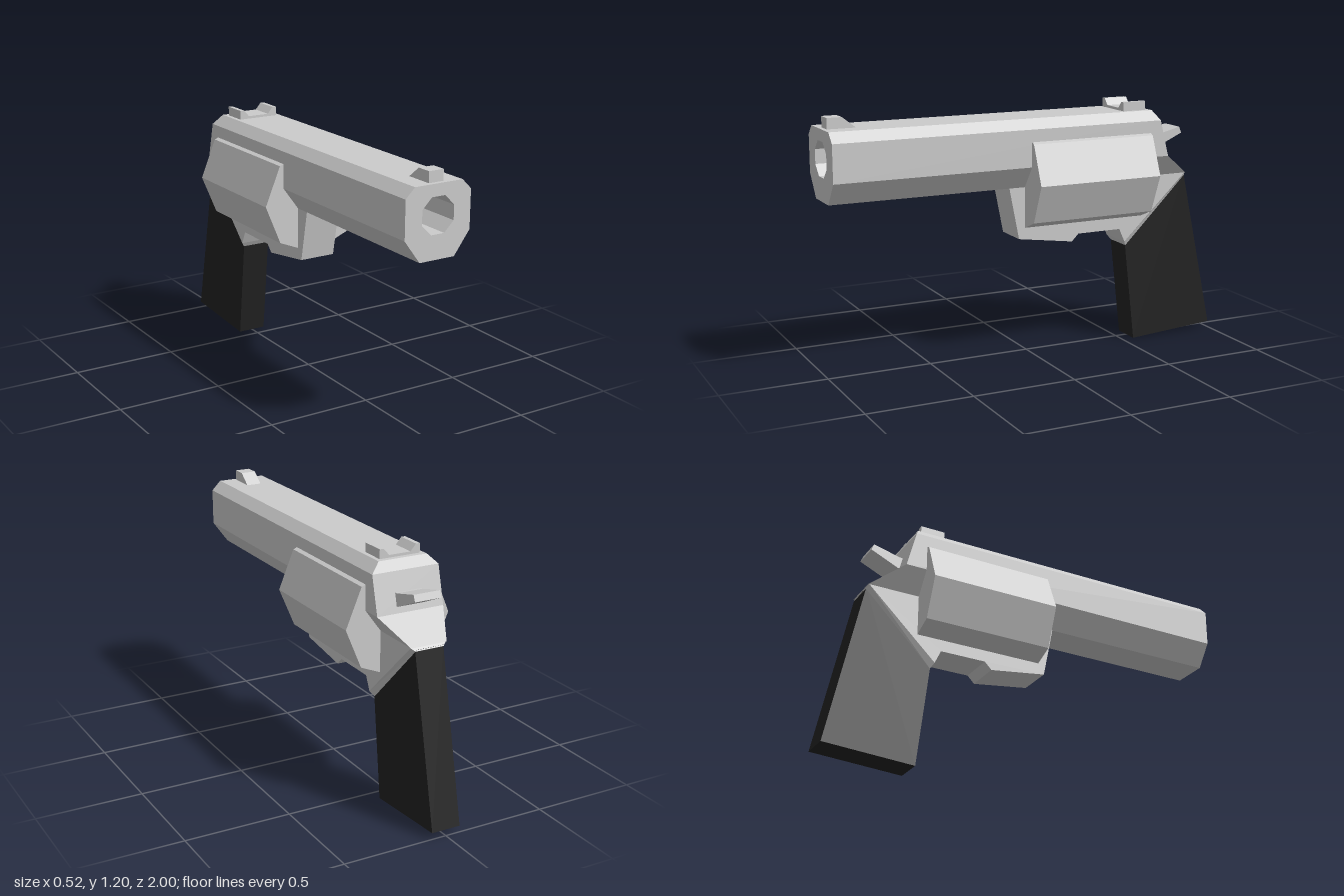
import * as THREE from 'three';

const metal = new THREE.MeshStandardMaterial({ color: 0xcccccc, flatShading: true });
const bore = new THREE.MeshStandardMaterial({ color: 0xcccccc, flatShading: true, side: THREE.BackSide });
const black = new THREE.MeshStandardMaterial({ color: 0x222222, flatShading: true });

const shapeOf = (pts) => new THREE.Shape(pts.map(([x, y]) => new THREE.Vector2(x, y)));

// Side profile of [z, y] points, extruded across x and centred
function slab(pts, halfWidth) {
  const geo = new THREE.ExtrudeGeometry(shapeOf(pts), { depth: halfWidth * 2, bevelEnabled: false });
  return geo.rotateY(-Math.PI / 2).translate(halfWidth, 0, 0);
}

// Completes a right half of [x, y, z] points with its mirror image
const mirrored = (half) => [...half, ...half.map(([x, ...rest]) => [-x, ...rest]).reverse()];

// Joins a front ring to a rear ring and closes the rear with cross strips
function loft(front, rear) {
  const n = front.length, pos = [];
  const quad = (a, b, c, d) => pos.push(...a, ...b, ...c, ...a, ...c, ...d);
  for (let i = 0; i < n; i++) {
    const j = (i + 1) % n;
    quad(front[i], rear[i], rear[j], front[j]);
  }
  for (let i = 0; i < n / 2 - 1; i++) {
    quad(rear[i], rear[n - 1 - i], rear[n - 2 - i], rear[i + 1]);
  }
  const geo = new THREE.BufferGeometry();
  geo.setAttribute('position', new THREE.Float32BufferAttribute(pos, 3));
  geo.computeVertexNormals();
  return geo;
}

export function createModel() {
  const group = new THREE.Group();
  const add = (name, geo, mat = metal) => {
    const mesh = new THREE.Mesh(geo, mat);
    mesh.name = name;
    group.add(mesh);
    return mesh;
  };

  // Barrel: eight-sided section whose rear end slopes down to the grip
  const rearHalf = [[0.088, 0.82, -0.83], [0.165, 0.925, -0.68], [0.165, 1.1, -0.635], [0.12, 1.145, -0.61]];
  const frontHalf = rearHalf.map(([x, y]) => [x, y, 1]);
  add('barrel', loft(mirrored(frontHalf), mirrored(rearHalf)));

  // Muzzle face with an octagonal bore
  const boreY = 1.01, boreR = 0.087, boreDepth = 0.3;
  const muzzle = shapeOf(mirrored(frontHalf));
  const holePts = Array.from({ length: 8 }, (_, i) => {
    const a = (i + 0.5) * Math.PI / 4;
    return new THREE.Vector2(Math.cos(a) * boreR, boreY + Math.sin(a) * boreR);
  });
  muzzle.holes.push(new THREE.Path(holePts));
  add('muzzleFace', new THREE.ShapeGeometry(muzzle).translate(0, 0, 1));
  add('boreWall', new THREE.CylinderGeometry(boreR, boreR, boreDepth, 8, 1, true, Math.PI / 8)
    .rotateX(Math.PI / 2).translate(0, boreY, 1 - boreDepth / 2), bore);
  add('boreEnd', new THREE.CircleGeometry(boreR, 8, Math.PI / 8).translate(0, boreY, 1 - boreDepth));

  // Lower frame with the guard bulge
  add('frame', slab([[0.13, 0.825], [0.08, 0.575], [-0.2, 0.535], [-0.235, 0.57],
    [-0.46, 0.57], [-0.49, 0.505], [-0.825, 0.82]], 0.088));

  // Chamfered collar between frame and grip
  add('collar', loft(
    mirrored([[0.088, 0.505, -0.49], [0.088, 0.82, -0.825]]),
    mirrored([[0.07, 0.48, -0.505], [0.07, 0.805, -0.835]])));

  // Eight-sided drum
  add('drum', new THREE.CylinderGeometry(0.26, 0.26, 0.63, 8)
    .rotateX(Math.PI / 2).translate(0, 0.85, -0.265));

  // Grip
  add('grip', slab([[-0.503, 0.49], [-0.56, 0], [-1, 0.03], [-0.832, 0.81]], 0.07), black);

  // Hammer
  add('hammer', slab([[-0.62, 0.955], [-0.68, 0.955], [-0.815, 1.015], [-0.803, 1.045],
    [-0.67, 1.012], [-0.62, 1.012]], 0.065));

  // Front sight with a sloped back
  add('frontSight', slab([[0.98, 1.14], [0.98, 1.195], [0.91, 1.195], [0.84, 1.14]], 0.037));

  // Notched rear sight
  const notch = mirrored([[0.1, 1.14], [0.1, 1.188], [0.08, 1.188], [0.053, 1.157]]);
  add('rearSight', new THREE.ExtrudeGeometry(shapeOf(notch), { depth: 0.12, bevelEnabled: false })
    .translate(0, 0, -0.585));

  return group;
}
